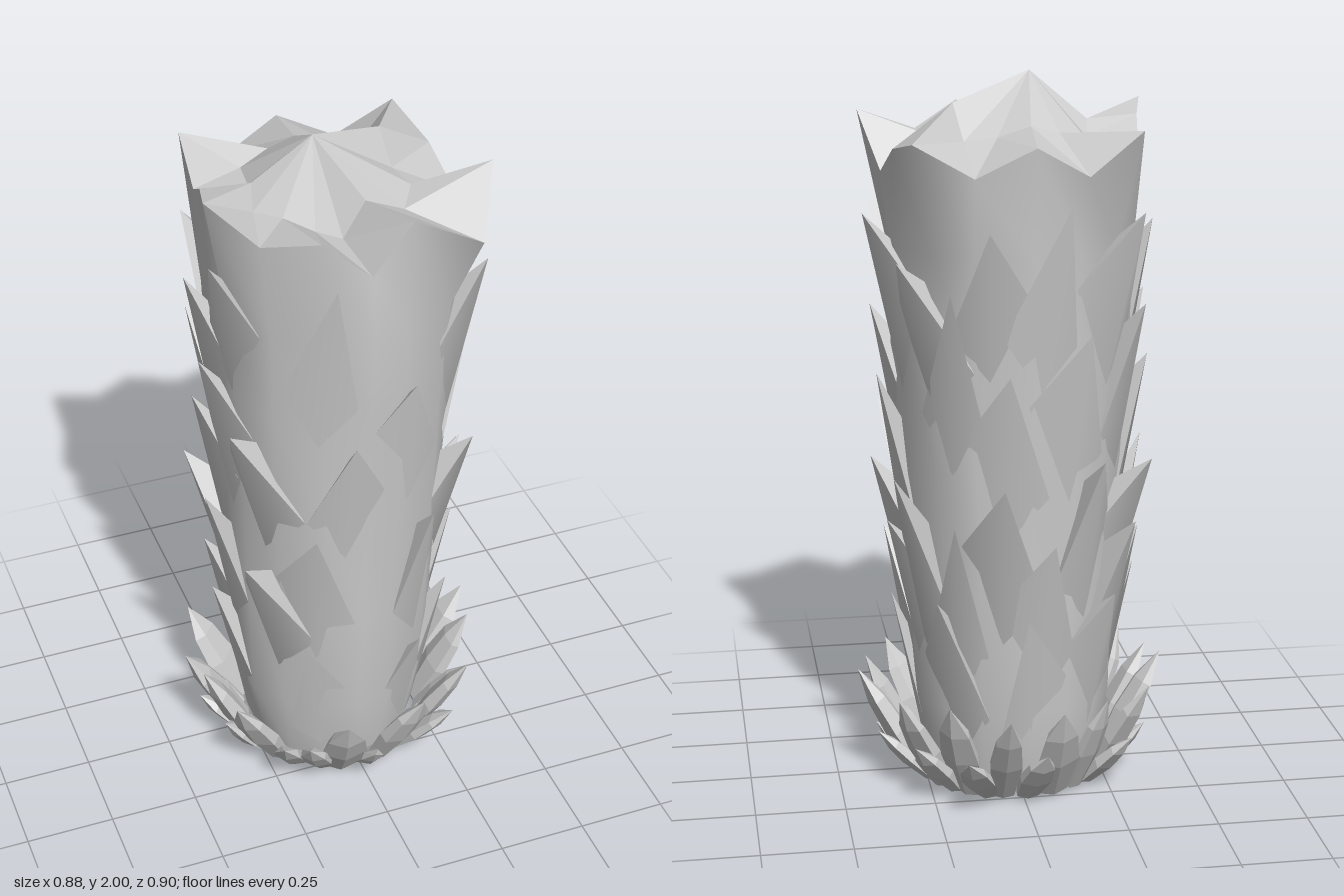
import * as THREE from 'three';

const RAD = Math.PI / 180;
// Trunk radius and slight forward offset at a height
const trunkR = (y) => 0.27 + 0.046 * y - 0.035 * Math.max(0, 1 - y / 0.25);
const trunkZ = (y) => 0.015 + 0.012 * y;
const polar = (deg, r, y) => [r * Math.sin(deg * RAD), y, r * Math.cos(deg * RAD) + trunkZ(y)];

// Jagged top rim: x, y, z, then height of the cap point inside it
const RIM = [
  [-0.01, 1.74, 0.36, 1.76], [0.1, 1.88, 0.36, 1.86], [0.31, 1.75, 0.32, 1.8], [0.4, 1.89, 0.16, 1.82],
  [0.35, 1.74, 0.03, 1.84], [0.33, 1.82, -0.1, 1.93], [0.3, 1.86, -0.29, 1.84], [0.14, 1.77, -0.31, 1.85],
  [-0.02, 1.85, -0.33, 1.88], [-0.16, 1.77, -0.32, 1.86], [-0.31, 1.88, -0.28, 1.83], [-0.33, 1.81, -0.1, 1.83],
  [-0.35, 1.88, 0.02, 1.87], [-0.38, 1.91, 0.14, 1.82], [-0.27, 1.82, 0.25, 1.82], [-0.15, 1.87, 0.37, 1.8],
];

// Skin a list of closed rings, running bottom to top
function loft(rings) {
  const n = rings[0].length, index = [];
  for (let j = 0; j < rings.length - 1; j++) {
    for (let i = 0; i < n; i++) {
      const a = j * n + i, b = j * n + (i + 1) % n;
      index.push(a, b, a + n, b, b + n, a + n);
    }
  }
  const g = new THREE.BufferGeometry();
  g.setAttribute('position', new THREE.Float32BufferAttribute(rings.flat(2), 3));
  g.setIndex(index);
  g.computeVertexNormals();
  return g;
}

// Lopsided bark scale: smooth front from a buried foot to the tip, creased back
function scaleGeometry(deg, y, r, [wl, hl, wr, hr]) {
  const at = (d, drop, sink) => {
    const yy = Math.max(0.08, y - drop);
    return polar(deg + d, trunkR(yy) - sink, yy);
  };
  const L = at(-wl, hl, 0.002), R = at(wr, hr, 0.002), F = at((wr - wl) / 2, Math.max(hl, hr) + 0.12, 0.002);
  const B = at((wr - wl) / 4, Math.min(hl, hr) * 0.5, 0.03);
  const T = polar(deg, r - trunkZ(y) * Math.cos(deg * RAD), y);
  const g = new THREE.BufferGeometry();
  g.setAttribute('position', new THREE.Float32BufferAttribute([F, R, T, L, T, R, B, T, B, L].flat(), 3));
  g.setIndex([0, 1, 2, 0, 2, 3, 4, 5, 6, 7, 8, 9]);
  g.computeVertexNormals();
  return g;
}

// Left width and drop, right width and drop, cycled along each row
const SHAPES = [[22, 0.3, 17, 0.2], [13, 0.36, 25, 0.2], [26, 0.36, 10, 0.4], [18, 0.16, 27, 0.3], [24, 0.2, 20, 0.36]];

// Bark scales: angle from the front towards +x, tip height, tip radius
const SCALES = [
  [[-70, 1.74, 0.42], [-18, 1.74, 0.41], [62, 1.64, 0.43], [101, 1.64, 0.41], [128, 1.54, 0.41],
    [165, 1.64, 0.4], [195, 1.7, 0.38], [228, 1.66, 0.41], [262, 1.6, 0.39]],
  [[-85, 1.39, 0.39], [17, 1.4, 0.4], [80, 1.36, 0.39], [150, 1.47, 0.39], [205, 1.35, 0.37], [236, 1.4, 0.39],
    [-60, 1.25, 0.43], [-10, 1.25, 0.41], [102, 1.2, 0.38], [172, 1.25, 0.36], [262, 1.22, 0.38]],
  [[-80, 0.96, 0.4], [-26, 0.93, 0.39], [30, 0.93, 0.39], [62, 1.06, 0.41], [88, 0.94, 0.39],
    [126, 0.95, 0.42], [170, 0.95, 0.4], [210, 1.0, 0.39], [245, 0.95, 0.4]],
  [[-55, 0.81, 0.42], [112, 0.8, 0.38], [150, 0.83, 0.38], [190, 0.78, 0.37], [230, 0.8, 0.39],
    [80, 0.72, 0.36], [262, 0.72, 0.36]],
  [[-88, 0.59, 0.36], [-32, 0.5, 0.34], [33, 0.44, 0.34], [60, 0.56, 0.35], [95, 0.55, 0.34],
    [140, 0.6, 0.36], [180, 0.56, 0.34], [222, 0.6, 0.36]],
];

// Base leaves: angle, length, outward tilt, width factor
const LEAVES = [
  [-13, 0.36, 32, 1.1], [14, 0.35, 29, 1], [48, 0.33, 31, 0.9], [79, 0.34, 27, 1], [100, 0.36, 30, 1.1],
  [124, 0.34, 30, 0.9], [146, 0.35, 27, 1], [167, 0.36, 34, 0.8], [198, 0.35, 30, 1], [215, 0.33, 25, 0.8],
  [238, 0.34, 30, 1], [260, 0.36, 30, 1.1], [281, 0.34, 27, 1], [304, 0.34, 31, 1],
  [3, 0.25, 45, 0.7], [30, 0.27, 42, 0.8], [64, 0.22, 40, 0.8], [90, 0.19, 42, 0.7], [112, 0.22, 44, 0.7],
  [135, 0.24, 44, 0.8], [157, 0.27, 50, 0.8], [182, 0.24, 42, 0.8], [227, 0.22, 44, 0.8],
  [250, 0.2, 42, 0.7], [271, 0.21, 42, 0.8], [293, 0.24, 40, 0.8], [318, 0.27, 42, 0.8], [335, 0.27, 40, 0.8],
];

export function createModel() {
  const model = new THREE.Group();
  const smooth = new THREE.MeshStandardMaterial({ color: 0xcccccc });
  const hollow = new THREE.MeshStandardMaterial({ color: 0xcccccc, side: THREE.DoubleSide });
  const flat = new THREE.MeshStandardMaterial({ color: 0xcccccc, flatShading: true });
  const add = (parent, name, geometry, material) => {
    const mesh = new THREE.Mesh(geometry, material);
    mesh.name = name;
    parent.add(mesh);
    return mesh;
  };
  const group = (name) => {
    const g = new THREE.Group();
    g.name = name;
    model.add(g);
    return g;
  };

  // Hollow trunk wall, rising into the jagged rim
  const rim = RIM.map(([x, y, z]) => [x, y, z]);
  const ring = (y) => RIM.map(([x, , z], i) =>
    polar(Math.atan2(x, z) / RAD, trunkR(y) + 0.005 * Math.sin(i * 2.4 + y * 5), y));
  add(model, 'trunk', loft([...[0.03, 0.25, 0.6, 0.95, 1.3, 1.55].map(ring), rim]), hollow);

  // Broken top, rising to a central peak
  const inner = RIM.map(([x, , z, h]) => [x * 0.55 - 0.02, h, z * 0.5 + 0.01]);
  add(model, 'crownTop', loft([rim, inner, RIM.map(() => [-0.06, 2, 0.06])]), flat);

  // Rows of overlapping bark scales
  const bark = group('barkScales');
  SCALES.forEach((row, j) => row.forEach(([deg, y, r], i) =>
    add(bark, 'barkScale', scaleGeometry(deg, y, r, SHAPES[(i * 2 + j) % SHAPES.length]), smooth)));

  // Faceted leaves spreading around the base
  const leaves = group('baseLeaves');
  const profile = [[0, 0], [0.045, 0.02], [0.064, 0.42], [0.05, 0.72], [0, 1]];
  LEAVES.forEach(([deg, length, tilt, width], i) => {
    const pts = profile.map(([x, y]) => new THREE.Vector2(x * width, y * length));
    const leaf = add(leaves, 'baseLeaf', new THREE.LatheGeometry(pts, 5 + i % 2), flat);
    leaf.scale.z = 0.5;
    leaf.rotation.set(tilt * RAD, (deg + 8 * Math.sin(i * 3)) * RAD, 6 * Math.sin(i * 5) * RAD, 'YXZ');
    leaf.position.set(...polar(deg, 0.262, 0.015));
  });
  return model;
}
